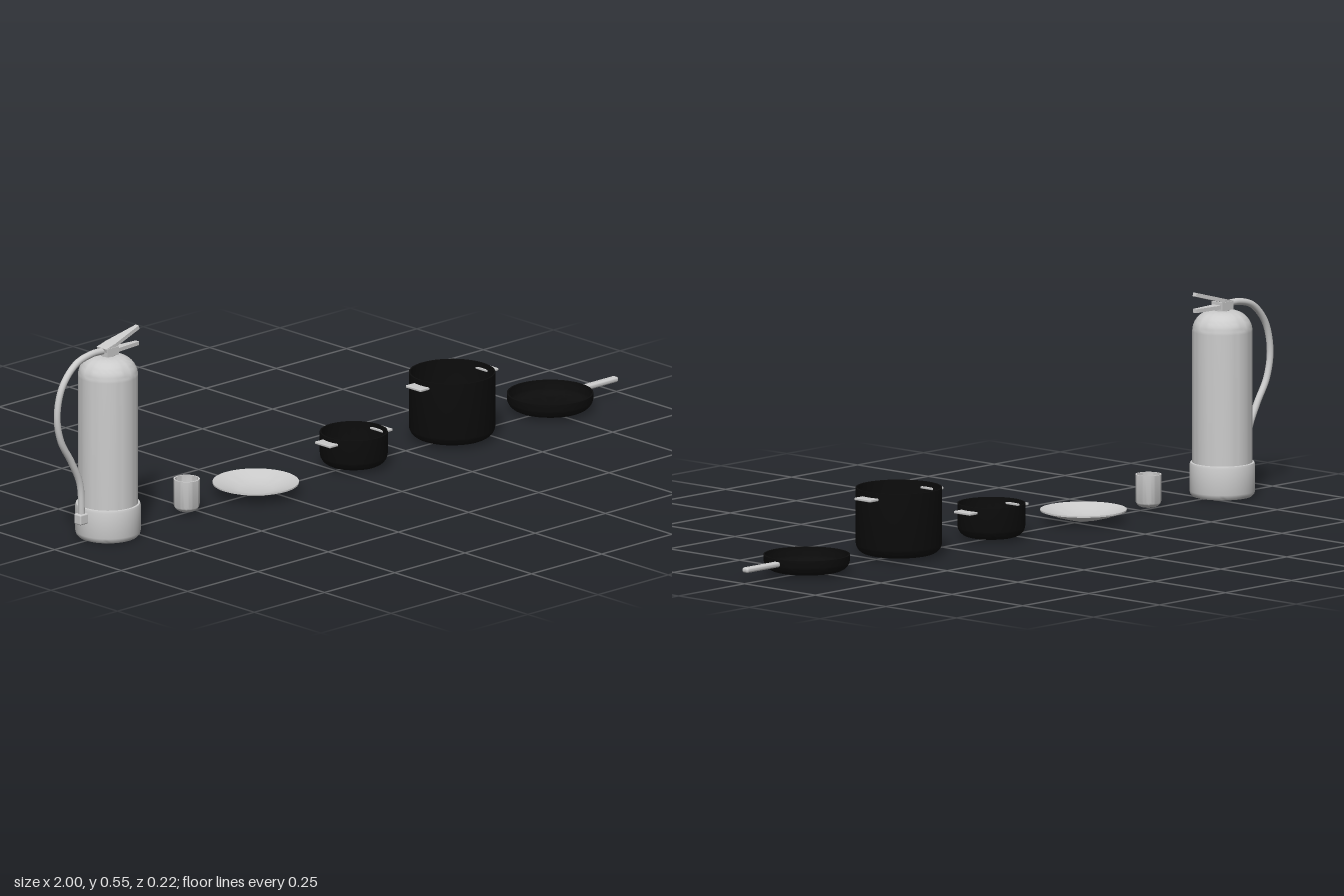
import * as THREE from 'three';
import { toCreasedNormals } from 'three/addons/utils/BufferGeometryUtils.js';
import { RoundedBoxGeometry } from 'three/addons/geometries/RoundedBoxGeometry.js';

const grey = new THREE.MeshStandardMaterial({ color: 0xcccccc });
const black = new THREE.MeshStandardMaterial({ color: 0x0c0c0c });

function add(parent, name, geometry, material, x = 0, y = 0, z = 0) {
  const mesh = new THREE.Mesh(geometry, material);
  mesh.name = name;
  mesh.position.set(x, y, z);
  parent.add(mesh);
  return mesh;
}

function group(parent, name, x, y = 0) {
  const g = new THREE.Group();
  g.name = name;
  g.position.set(x, y, 0);
  parent.add(g);
  return g;
}

// Points of a circular arc, in radius/height coordinates
function arc(cx, cy, r, from, to, steps = 8) {
  return Array.from({ length: steps + 1 }, (_, i) => {
    const a = from + (to - from) * i / steps;
    return [cx + r * Math.cos(a), cy + r * Math.sin(a)];
  });
}

function lathe(points) {
  const profile = points.map(([r, y]) => new THREE.Vector2(Math.max(r, 0), y));
  return toCreasedNormals(new THREE.LatheGeometry(profile, 48), 0.6);
}

// Open container with a rounded bottom edge and a real wall thickness
function vessel(r, h, corner, wall) {
  const q = Math.PI / 2, inner = corner - wall;
  return lathe([
    [0, 0],
    ...arc(r - corner, corner, corner, -q, 0),
    [r, h], [r - wall, h],
    ...arc(r - corner, corner, inner, 0, -q),
    [0, wall],
  ]);
}

// Flat bar narrowing along +x, starting at the origin
function taperedLever(length, startHalf, endHalf, thickness) {
  const s = new THREE.Shape();
  s.moveTo(0, -startHalf);
  s.lineTo(length * 0.25, -startHalf);
  s.lineTo(length, -endHalf);
  s.lineTo(length, endHalf);
  s.lineTo(length * 0.25, startHalf);
  s.lineTo(0, startHalf);
  const g = new THREE.ExtrudeGeometry(s, { depth: thickness, bevelEnabled: false });
  g.rotateX(Math.PI / 2);
  g.translate(0, thickness / 2, 0);
  return g;
}

function buildExtinguisher(root) {
  const g = group(root, 'extinguisher', -0.81);
  const q = Math.PI / 2;
  // Tank with domed shoulder
  add(g, 'tank', lathe([
    [0, 0.02], [0.078, 0.02], [0.078, 0.43],
    ...arc(0.025, 0.434, 0.053, 0, q, 12),
    [0, 0.488],
  ]), grey);
  // Foot sleeve
  add(g, 'foot', lathe([
    [0, 0.002], [0.077, 0.002], [0.083, 0.008], [0.085, 0.016],
    [0.085, 0.084], [0.083, 0.09], [0.077, 0.091],
  ]), grey);
  // Valve and squeeze levers
  add(g, 'neck', new THREE.CylinderGeometry(0.018, 0.018, 0.012, 24), grey, 0, 0.49);
  add(g, 'valveBody', new THREE.BoxGeometry(0.04, 0.022, 0.04), grey, 0, 0.501);
  add(g, 'carryHandle', taperedLever(0.115, 0.014, 0.006, 0.01), grey, -0.01, 0.499);
  add(g, 'squeezeLever', taperedLever(0.132, 0.018, 0.006, 0.01), grey, -0.022, 0.507)
    .rotation.z = 0.27;
  // Hose looping down to the nozzle at the foot
  const path = [
    [-0.015, 0.503], [-0.06, 0.503], [-0.115, 0.487], [-0.163, 0.435], [-0.181, 0.36],
    [-0.168, 0.29], [-0.13, 0.225], [-0.1, 0.16], [-0.094, 0.07],
  ].map(([x, y]) => new THREE.Vector3(x, y, 0));
  add(g, 'hose', new THREE.TubeGeometry(new THREE.CatmullRomCurve3(path), 64, 0.009, 12), grey);
  add(g, 'hoseClip', new RoundedBoxGeometry(0.03, 0.028, 0.026, 2, 0.004), grey, -0.095, 0.066);
}

function buildPot(root, name, x, r, h, handleY, handleReach) {
  const g = group(root, name, x, 0.008);
  add(g, name + 'Body', vessel(r, h, 0.03, 0.004), black);
  // Flat grips on both sides, starting just inside the wall
  const inner = Math.sqrt((r - 0.003) ** 2 - 0.028 ** 2);
  const length = handleReach - inner;
  for (const side of [-1, 1]) {
    add(g, side > 0 ? 'leftGrip' : 'rightGrip',
      new RoundedBoxGeometry(length, 0.007, 0.057, 2, 0.002), grey,
      side * (inner + length / 2), handleY - 0.008);
  }
}

export function createModel() {
  const root = new THREE.Group();
  root.name = 'kitchenSet';

  buildExtinguisher(root);

  add(root, 'cup', vessel(0.034, 0.086, 0.02, 0.004), grey, -0.53, 0.008);

  // Shallow plate with a thin rim
  add(root, 'plate', lathe([
    [0, 0.009], [0.045, 0.009], [0.075, 0.017], [0.112, 0.03], [0.112, 0.034],
    [0.075, 0.022], [0.045, 0.014], [0, 0.014],
  ]), grey, -0.284);

  buildPot(root, 'smallPot', 0.065, 0.088, 0.087, 0.081, 0.112);
  buildPot(root, 'largePot', 0.415, 0.112, 0.173, 0.164, 0.139);

  // Frying pan with a long rounded handle
  const pan = group(root, 'fryingPan', 0.764, 0.008);
  add(pan, 'panBody', vessel(0.112, 0.042, 0.03, 0.004), black);
  add(pan, 'panHandle', new RoundedBoxGeometry(0.127, 0.014, 0.021, 3, 0.006), grey, 0.1725, 0.029);

  return root;
}
